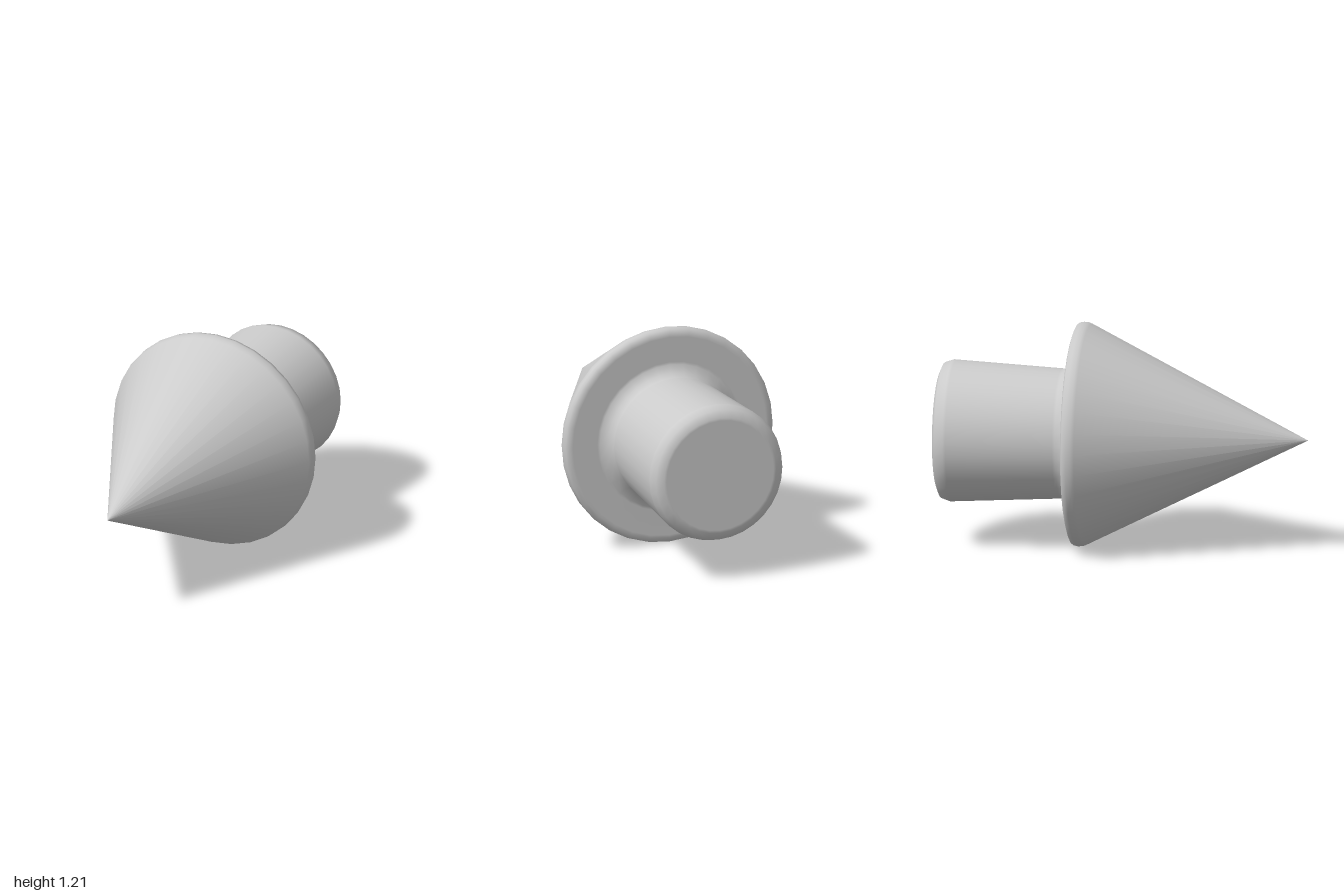
import * as THREE from 'three';

export function createModel() {
  const group = new THREE.Group();
  const material = new THREE.MeshStandardMaterial({ color: 0xcccccc });
  const radius = 0.605;

  // Turns a [radius, z] profile, listed from back to front, around the z axis
  const turned = (name, profile) => {
    const points = profile.map(([r, z]) => new THREE.Vector2(r, z));
    const geometry = new THREE.LatheGeometry(points, 32);
    geometry.rotateX(Math.PI / 2);
    const mesh = new THREE.Mesh(geometry, material);
    mesh.name = name;
    mesh.position.y = radius;
    group.add(mesh);
  };

  // One continuous skin, so the normals flow over the bevels and the fillet
  turned('pointedPlug', [
    // flat rear end and its rounded edge
    [0, -1], [0.31, -1], [0.325, -1], [0.367, -0.983], [0.383, -0.935],
    // shank, tapering towards the flange
    [0.382, -0.92], [0.351, -0.345], [0.35, -0.33],
    // fillet into the flange
    [0.363, -0.288], [0.405, -0.268],
    // flange face and rounded rim
    [0.42, -0.267], [0.56, -0.267], [0.575, -0.267], [0.6, -0.258], [radius, -0.235], [0.603, -0.208],
    // cone and tip
    [0.596, -0.19], [0, 1],
  ]);

  return group;
}
